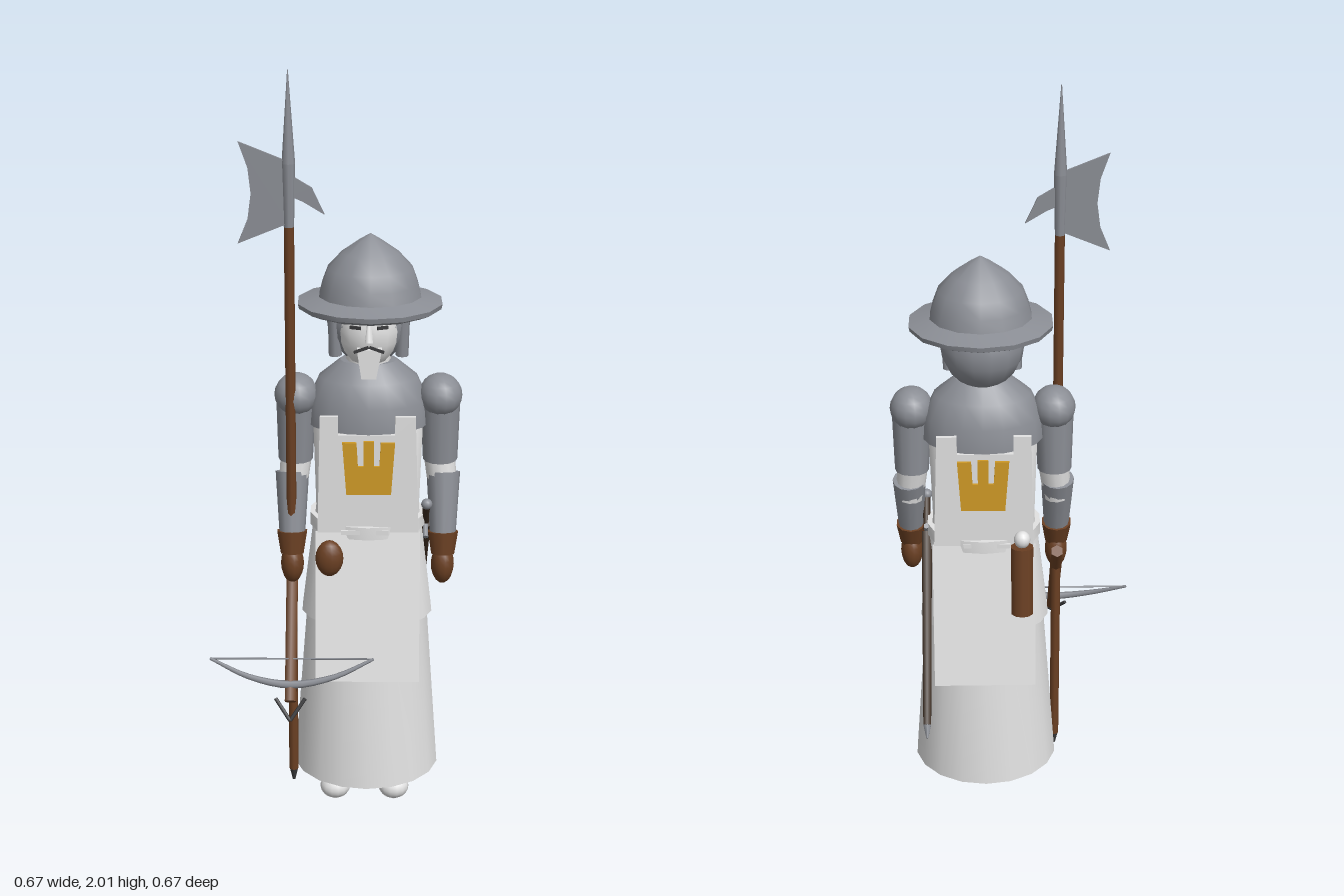
import * as THREE from 'three';
import { toCreasedNormals } from 'three/addons/utils/BufferGeometryUtils.js';

export function createModel() {
  const root = new THREE.Group();
  root.name = 'guard';
  const mat = (name, color, side = THREE.FrontSide) => {
    const m = new THREE.MeshStandardMaterial({ color, side });
    m.name = name;
    return m;
  };
  const cloth = mat('cloth', 0xe2e2e2, THREE.DoubleSide);
  const steel = mat('steel', 0x8b8e95, THREE.DoubleSide);
  const gold = mat('gold', 0xcf9a26);
  const leather = mat('leather', 0x6b4023);
  const scabbardBrown = mat('scabbardBrown', 0x3c2c20);
  const iron = mat('iron', 0x3a3a3c);
  const CX = 0.083, CZ = 0.022; // body axis

  const add = (name, geo, material, x = 0, y = 0, z = 0, parent = root) => {
    const m = new THREE.Mesh(geo, material);
    m.name = name;
    m.position.set(x, y, z);
    parent.add(m);
    return m;
  };
  const box = (name, material, w, h, d, x, y, z) =>
    add(name, new THREE.BoxGeometry(w, h, d), material, x, y, z);
  const ball = (name, material, rx, ry, rz, x, y, z, parent) => {
    const m = add(name, new THREE.SphereGeometry(1, 14, 10), material, x, y, z, parent);
    m.scale.set(rx, ry, rz);
    return m;
  };
  // tapered rod from a to b
  const rod = (name, material, a, b, ra, rb, sides = 10, parent = root) => {
    const p = new THREE.Vector3(...a), q = new THREE.Vector3(...b);
    const d = q.clone().sub(p);
    const m = add(name, new THREE.CylinderGeometry(rb, ra, d.length(), sides), material, 0, 0, 0, parent);
    m.position.copy(p).add(q).multiplyScalar(0.5);
    m.quaternion.setFromUnitVectors(new THREE.Vector3(0, 1, 0), d.normalize());
    return m;
  };
  // turned part on the body axis, flattened in z
  const turned = (name, material, pts, flat = 1, sides = 18, x = CX, z = CZ) => {
    const geo = new THREE.LatheGeometry(pts.map(p => new THREE.Vector2(...p)), sides);
    const m = add(name, toCreasedNormals(geo, 0.6), material, x, 0, z);
    m.scale.z = flat;
    return m;
  };
  const plate = (name, material, pts, depth, z) => {
    const geo = new THREE.ExtrudeGeometry(new THREE.Shape(pts.map(p => new THREE.Vector2(...p))),
      { depth, bevelEnabled: false });
    return add(name, geo, material, 0, 0, z - depth / 2);
  };

  // robe, coat and torso
  turned('robe', cloth, [[0, 0.065], [0.203, 0.065], [0.165, 0.56]], 0.93);
  turned('coat', cloth, [[0.165, 0.53], [0.18, 0.53], [0.147, 0.8], [0.14, 0.83], [0.148, 1.1], [0.1, 1.2]], 0.8);
  turned('belt', cloth, [[0.14, 0.785], [0.156, 0.785], [0.156, 0.82], [0.14, 0.82]], 0.88);

  // boots
  for (const x of [-0.003, 0.16]) {
    rod('boot', cloth, [x, 0.034, -0.015], [x, 0.034, 0.14], 0.038, 0.042, 10);
    ball('bootToe', cloth, 0.042, 0.034, 0.04, x, 0.034, 0.137);
    rod('ankle', cloth, [x, 0.03, 0.01], [x, 0.12, 0.01], 0.036, 0.036, 10);
  }

  // mail mantle, neck
  turned('mantle', steel, [[0.15, 1.075], [0.163, 1.075], [0.158, 1.14], [0.13, 1.2], [0.075, 1.245], [0, 1.25]], 0.76);
  turned('neck', cloth, [[0.06, 1.2], [0.058, 1.3]], 1, 12);

  // tabard panels with shoulder straps, hanging skirts and tower badges
  for (const [z, out, zLow] of [[0.142, 1, 0.222], [-0.096, -1, -0.168]]) {
    plate('tabardPanel', cloth, [[-0.05, 0.8], [0.217, 0.8], [0.205, 1.125], [0.152, 1.125],
      [0.152, 1.075], [0.004, 1.075], [0.004, 1.125], [-0.043, 1.125]], 0.012, z);
    const dz = zLow - z;
    const skirt = box('tabardSkirt', cloth, 0.277, Math.hypot(0.4, dz), 0.012, CX, 0.603, (z + zLow) / 2);
    skirt.rotation.x = -Math.atan2(dz, 0.4);
    box('beltFold', cloth, 0.125, 0.012, 0.012, 0.075, 0.805, z + out * 0.008);
    plate('towerBadge', gold, [[0.026, 0.915], [0.143, 0.915], [0.152, 1.058], [0.115, 1.058], [0.112, 0.993],
      [0.098, 0.993], [0.098, 1.062], [0.07, 1.062], [0.07, 0.993], [0.056, 0.993], [0.052, 1.058], [0.015, 1.058]],
      0.008, z + out * 0.014);
  }

  // head, coif and face
  ball('coif', steel, 0.11, 0.115, 0.104, CX, 1.345, -0.002);
  ball('face', cloth, 0.08, 0.1, 0.07, CX, 1.333, 0.047);
  plate('beard', cloth, [[0.052, 1.3], [0.064, 1.222], [0.102, 1.222], [0.116, 1.3]], 0.05, 0.108);
  rod('nose', cloth, [CX, 1.315, 0.122], [CX, 1.365, 0.108], 0.012, 0.006, 6);
  for (const s of [-1, 1]) {
    const eye = box('eye', iron, 0.03, 0.008, 0.006, CX + s * 0.035, 1.353, 0.109);
    eye.rotation.y = s * 0.4;
    const lip = box('moustache', iron, 0.04, 0.007, 0.006, CX + s * 0.02, 1.301, 0.132);
    lip.rotation.z = -s * 0.35;
    rod('coifEdge', steel, [CX + s * 0.087, 1.26, 0.04], [CX + s * 0.09, 1.4, 0.05], 0.017, 0.017, 8);
  }

  // kettle helmet
  turned('helmet', steel, [[0.1, 1.4], [0.16, 1.378], [0.188, 1.39], [0.191, 1.403], [0.135, 1.418], [0.127, 1.45],
    [0.112, 1.49], [0.075, 1.53], [0.03, 1.562], [0, 1.58]], 1, 14, 0.086, 0.02);

  // arms
  for (const s of [-1, 1]) {
    const arm = new THREE.Group();
    arm.name = s > 0 ? 'leftArm' : 'rightArm';
    arm.position.x = CX;
    root.add(arm);
    const x = s * 0.19, hx = s * 0.202;
    ball('pauldron', steel, 0.058, 0.058, 0.068, x, 1.15, 0.034, arm);
    rod('upperArm', steel, [x + s * 0.003, 0.97, 0.03], [x, 1.14, 0.034], 0.046, 0.053, 12, arm);
    rod('elbowSleeve', cloth, [hx, 0.88, 0.045], [x, 0.99, 0.03], 0.038, 0.042, 12, arm);
    rod('forearm', steel, [hx, 0.765, 0.082], [hx, 0.935, 0.036], 0.034, 0.045, 12, arm);
    rod('gloveCuff', leather, [hx, 0.72, 0.09], [hx, 0.78, 0.078], 0.032, 0.042, 10, arm);
    ball('gloveHand', leather, 0.031, 0.055, 0.04, hx, 0.69, 0.088, arm);
  }

  // halberd
  const HX = -0.12, HZ = 0.09;
  rod('halberdShaft', leather, [HX, 0.06, HZ], [HX, 1.66, HZ], 0.013, 0.013, 8);
  rod('halberdFerrule', iron, [HX, 0.025, HZ], [HX, 0.065, HZ], 0.004, 0.013, 8);
  rod('halberdSocket', steel, [HX, 1.61, HZ], [HX, 1.77, HZ], 0.013, 0.017, 8);
  rod('halberdSpike', steel, [HX, 1.77, HZ], [HX, 2, HZ], 0.017, 0.001, 8);
  plate('axeBlade', steel, [[HX, 1.62], [HX, 1.775], [-0.245, 1.825], [-0.222, 1.76], [-0.215, 1.695],
    [-0.224, 1.63], [-0.25, 1.568]], 0.008, HZ);
  plate('axeBeak', steel, [[HX, 1.69], [-0.085, 1.675], [-0.03, 1.642], [-0.062, 1.71], [HX, 1.745]], 0.008, HZ);

  // crossbow hanging from the right hand
  rod('crossbowStock', leather, [HX, 0.71, 0.03], [HX, 0.38, 0.295], 0.018, 0.017, 6);
  const bow = new THREE.CatmullRomCurve3([[-0.335, 0.475, 0.234], [-0.23, 0.437, 0.265], [-0.118, 0.42, 0.276],
    [-0.005, 0.437, 0.265], [0.1, 0.475, 0.234]].map(p => new THREE.Vector3(...p)));
  const bowGeo = new THREE.TubeGeometry(bow, 16, 0.011, 6);
  // taper the limbs toward the tips
  const bp = bowGeo.attributes.position;
  for (let i = 0; i < bp.count; i++) {
    const t = Math.floor(i / 7) / 16, c = bow.getPointAt(t);
    const v = new THREE.Vector3().fromBufferAttribute(bp, i).sub(c)
      .multiplyScalar(1 - 0.65 * Math.abs(2 * t - 1)).add(c);
    bp.setXYZ(i, v.x, v.y, v.z);
  }
  add('crossbowLimbs', bowGeo, steel);
  rod('bowstring', steel, [-0.335, 0.475, 0.234], [0.1, 0.475, 0.234], 0.0025, 0.0025, 5);
  for (const s of [-1, 1])
    rod('stirrup', iron, [HX + s * 0.039, 0.388, 0.293], [HX, 0.342, 0.33], 0.005, 0.005, 6);

  // belt pouch
  ball('pouch', leather, 0.037, 0.05, 0.028, -0.018, 0.745, 0.184);

  // quiver with bolts
  rod('quiver', leather, [-0.018, 0.63, -0.164], [-0.018, 0.825, -0.148], 0.03, 0.031, 10);
  ball('boltFletching', cloth, 0.022, 0.024, 0.022, -0.018, 0.845, -0.146);

  // sword at the left hip
  const SX = 0.24;
  rod('scabbard', scabbardBrown, [SX, 0.78, 0.022], [SX, 0.375, -0.315], 0.016, 0.012, 6);
  rod('scabbardTip', steel, [SX, 0.375, -0.315], [SX, 0.347, -0.338], 0.012, 0.003, 6);
  rod('swordGuard', steel, [SX, 0.755, 0.062], [SX, 0.815, -0.008], 0.008, 0.008, 6);
  rod('swordGrip', scabbardBrown, [SX, 0.785, 0.026], [SX, 0.855, 0.084], 0.01, 0.01, 8);
  ball('swordPommel', steel, 0.015, 0.015, 0.015, SX, 0.862, 0.09);

  return root;
}
